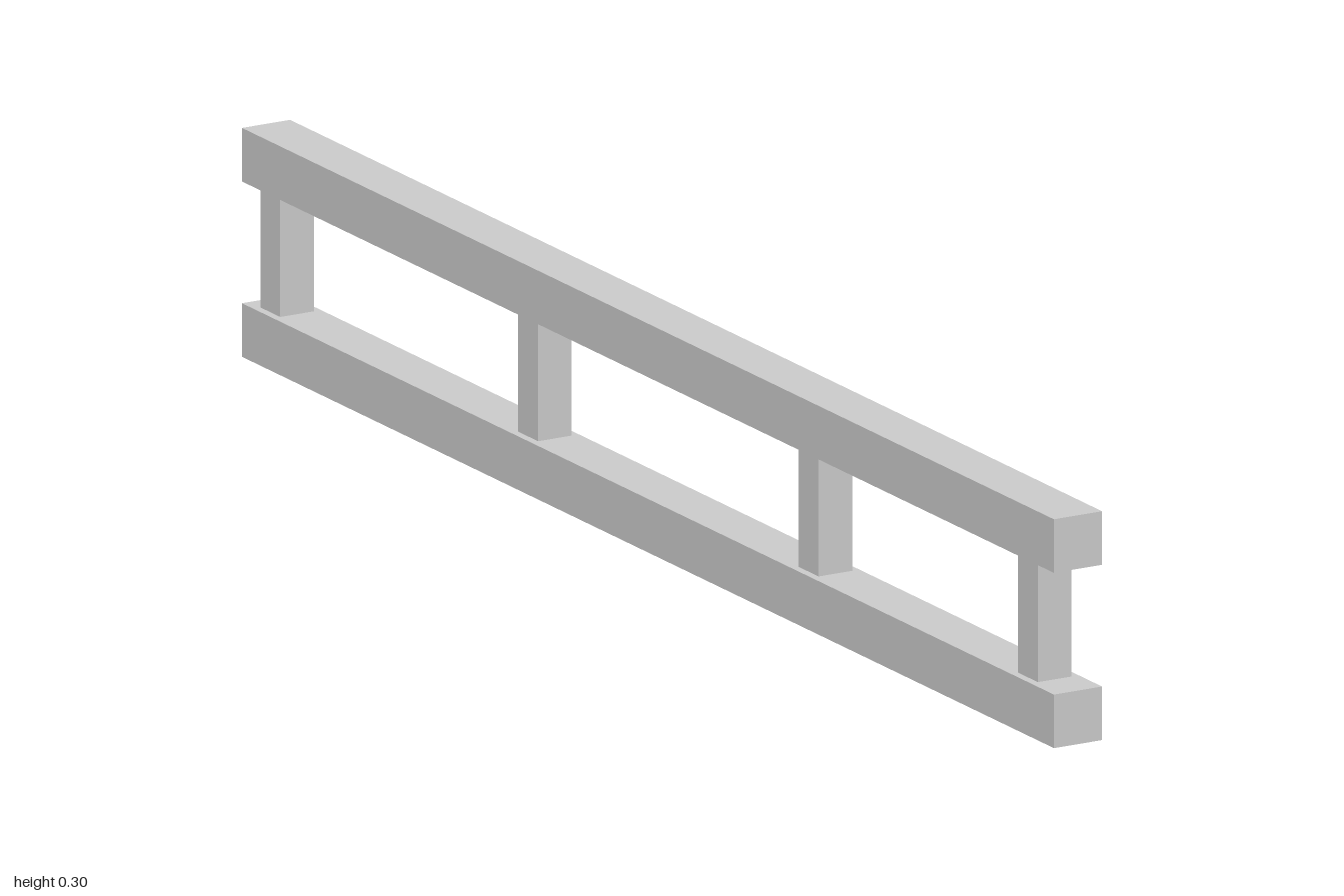
import * as THREE from 'three';

const RAIL = 0.07;      // square rail section
const HEIGHT = 0.299;   // overall height
const LENGTH = 2;
const POST = 0.049;     // square post section

export function createModel() {
  const group = new THREE.Group();
  const material = new THREE.MeshStandardMaterial({ color: 0xcccccc, flatShading: true });

  const addBox = (name, w, h, d, y, z) => {
    const mesh = new THREE.Mesh(new THREE.BoxGeometry(w, h, d), material);
    mesh.name = name;
    mesh.position.set(0, y, z);
    group.add(mesh);
  };

  // Two long parallel rails
  addBox('bottomRail', RAIL, RAIL, LENGTH, RAIL / 2, 0);
  addBox('topRail', RAIL, RAIL, LENGTH, HEIGHT - RAIL / 2, 0);

  // Unevenly spaced posts between the rails
  const postHeight = HEIGHT - 2 * RAIL;
  [0.918, 0.378, -0.313, -0.948].forEach((z, i) =>
    addBox(`post${i + 1}`, POST, postHeight, POST, HEIGHT / 2, z));

  return group;
}
